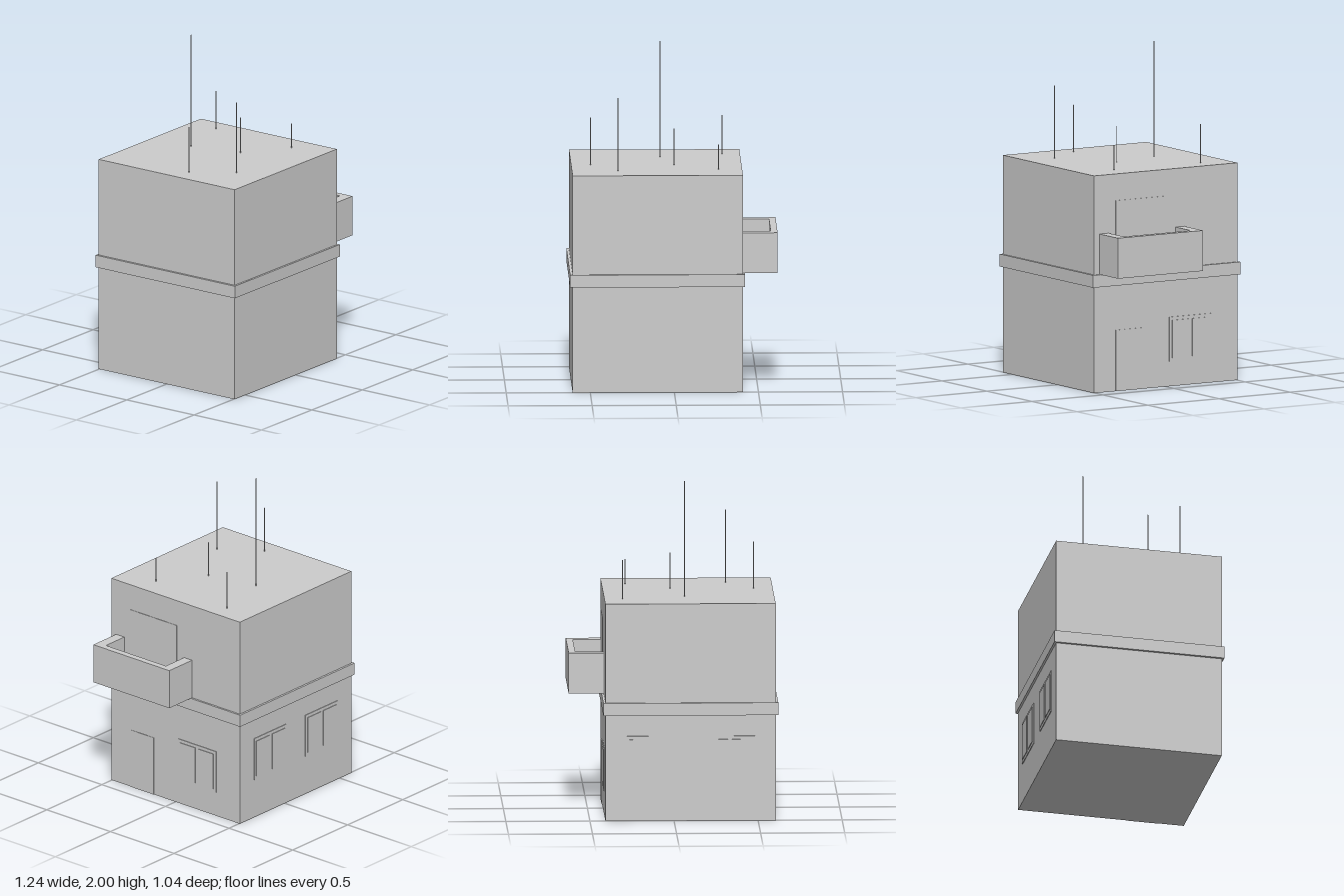
import * as THREE from 'three';

export function createModel() {
  const model = new THREE.Group();
  const mat = new THREE.MeshStandardMaterial({ color: 0xcccccc, flatShading: true });

  // Box given by its minimum and maximum corners
  function box(name, [x0, y0, z0], [x1, y1, z1], parent = model) {
    const mesh = new THREE.Mesh(new THREE.BoxGeometry(x1 - x0, y1 - y0, z1 - z0), mat);
    mesh.position.set((x0 + x1) / 2, (y0 + y1) / 2, (z0 + z1) / 2);
    mesh.name = name;
    parent.add(mesh);
    return mesh;
  }

  // Main block and the ledge between the storeys
  const wallX = 0.408, wallZ = -0.505;
  box('building', [-0.605, 0, wallZ], [wallX, 1.305, 0.505]);
  box('ledge', [-0.62, 0.635, -0.518], [0.42, 0.71, 0.518]);

  // Balcony: floor and three parapet walls
  const balcony = new THREE.Group();
  balcony.name = 'balcony';
  model.add(balcony);
  box('balconyFloor', [wallX, 0.71, -0.13], [0.615, 0.73, 0.467], balcony);
  box('balconyFrontWall', [0.575, 0.73, -0.13], [0.615, 0.953, 0.467], balcony);
  box('balconySideWall', [wallX, 0.73, -0.13], [0.575, 0.953, -0.068], balcony);
  box('balconySideWall', [wallX, 0.73, 0.403], [0.575, 0.953, 0.467], balcony);

  // Doors, barely proud of the wall
  box('balconyDoor', [wallX - 0.01, 0.73, -0.01], [wallX + 0.003, 1.145, 0.353]);
  box('entranceDoor', [wallX - 0.01, 0, 0.17], [wallX + 0.003, 0.367, 0.353]);

  // Window: thin backing frame with two raised panes, facing +z before placing
  function addWindow(x, y, z, turn) {
    const win = new THREE.Group();
    win.name = 'window';
    box('windowFrame', [-0.148, -0.133, -0.01], [0.148, 0.133, 0.004], win);
    for (const s of [-1, 1]) {
      const pane = box('windowPane', [-0.06, -0.113, 0], [0.06, 0.113, 0.008], win);
      pane.position.x = s * 0.071;
    }
    win.position.set(x, y, z);
    win.rotation.y = turn;
    model.add(win);
  }
  addWindow(0.133, 0.377, wallZ, Math.PI);
  addWindow(-0.333, 0.377, wallZ, Math.PI);
  addWindow(wallX, 0.283, -0.172, Math.PI / 2);

  // Roof antennas: x, z, tip height
  const antennas = [
    [-0.49, 0.08, 1.588], [-0.33, 0.314, 1.743], [-0.07, -0.22, 2],
    [0.006, 0.09, 1.523], [0.268, 0.274, 1.455], [0.3, -0.312, 1.54],
  ];
  for (const [x, z, top] of antennas) {
    const h = top - 1.3;
    const rod = new THREE.Mesh(new THREE.CylinderGeometry(0.003, 0.003, h, 8), mat);
    rod.position.set(x, 1.3 + h / 2, z);
    rod.name = 'antenna';
    model.add(rod);
  }
  return model;
}
